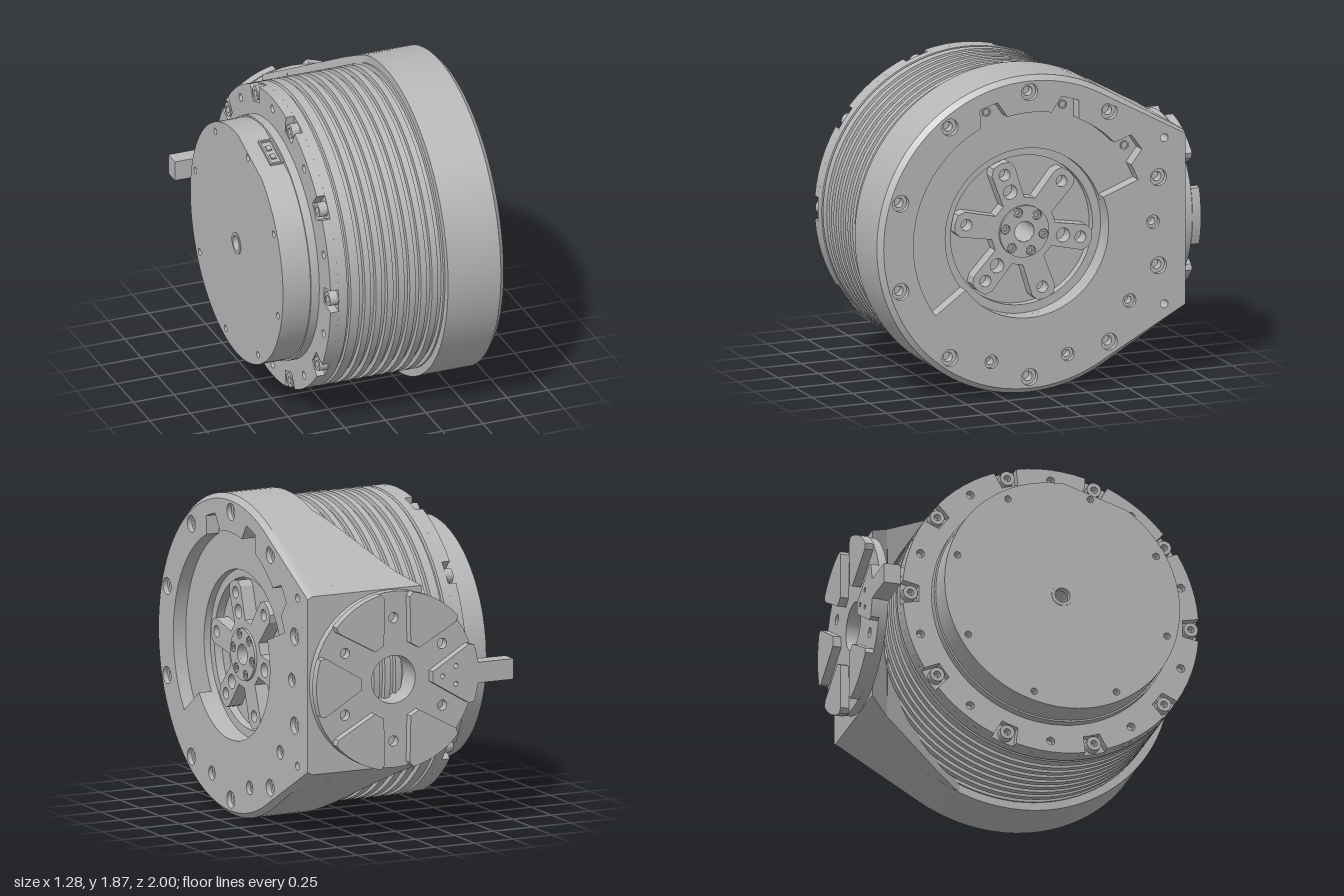
import * as THREE from 'three';
import { toCreasedNormals } from 'three/addons/utils/BufferGeometryUtils.js';
import { ConvexGeometry } from 'three/addons/geometries/ConvexGeometry.js';

const metal = new THREE.MeshStandardMaterial({ color: 0xb8b8b8 });
metal.name = 'grey metal';
const CY = 0.94, CZ = 0.065, R = 0.935;
const rad = (d) => d * Math.PI / 180;
const polar = (r, deg) => new THREE.Vector2(r * Math.cos(rad(deg)), r * Math.sin(rad(deg)));
const range = (n) => [...Array(n).keys()];

function circle(x, y, r) {
  return new THREE.Path().absarc(x, y, r, 0, Math.PI * 2, false);
}
function hole(r, deg, size) {
  const p = polar(r, deg);
  return circle(p.x, p.y, size);
}
function disc(r) {
  return new THREE.Shape().absarc(0, 0, r, 0, Math.PI * 2, false);
}
function arc(r, from, to, n) {
  return range(n + 1).map((i) => polar(r, from + (to - from) * i / n));
}
function add(parent, name, geo) {
  const mesh = new THREE.Mesh(toCreasedNormals(geo, 0.5), metal);
  mesh.name = name;
  parent.add(mesh);
  return mesh;
}
function extrude(shape, depth, curveSegments = 24, steps = 1) {
  return new THREE.ExtrudeGeometry(shape, { depth, curveSegments, steps, bevelEnabled: false });
}
// Extrusion across the main axis: shape x runs towards -z, depth runs along +x
function axial(parent, name, shape, x0, x1, segs) {
  return add(parent, name, extrude(shape, x1 - x0, segs).rotateY(Math.PI / 2).translate(x0, 0, 0));
}
function ring(parent, name, r, deg, outer, inner, x0, x1) {
  const shape = disc(outer);
  shape.holes.push(circle(0, 0, inner));
  const p = polar(r, deg);
  return axial(parent, name, shape, x0, x1, 10).position.set(0, p.y, -p.x);
}

// Finned core, with the stepped floor of the front recess and a through bore
function buildCore(g) {
  const pts = [[0.06, -0.47], [0.715, -0.47], [0.715, -0.37], [0.888, -0.37], [0.888, -0.315], [0.87, -0.31], [0.87, -0.3], [0.888, -0.295]];
  for (let i = 0; i < 8; i++) {
    const x = -0.24 + i * 0.069;
    pts.push([0.888, x], [0.86, x + 0.002], [0.86, x + 0.03], [0.888, x + 0.032]);
  }
  pts.push([0.888, 0.29], [0.9, 0.3], [0.9, 0.56], [0.49, 0.56], [0.49, 0.52], [0.44, 0.52], [0.44, 0.47], [0.06, 0.47], [0.06, -0.47]);
  const geo = new THREE.LatheGeometry(pts.map((p) => new THREE.Vector2(...p)), 96);
  add(g, 'finnedCore', geo.rotateZ(-Math.PI / 2));
}

// Teardrop housing with a chamfered front edge, recess and bolt holes
function buildHousing(g) {
  const shape = new THREE.Shape([...arc(R, 60, 300, 72).map((p) => new THREE.Vector2(-p.x, p.y))
    .map((p) => new THREE.Vector2(-p.x, p.y)), new THREE.Vector2(0.965, -0.52), new THREE.Vector2(0.965, 0.52)]);
  const recess = [];
  let last = 21;
  for (const a of [36, 72, 108]) {
    recess.push(...arc(0.72, last, a - 7, 6), ...arc(0.82, a - 4, a + 4, 3));
    last = a + 7;
  }
  recess.push(...arc(0.72, last, 216, 24), ...arc(0.49, 216, 381, 36));
  shape.holes.push(new THREE.Path(recess));
  range(10).forEach((i) => shape.holes.push(hole(0.84, 18 + 36 * i, 0.05)));
  [252, 288, 324, 0].forEach((a) => shape.holes.push(hole(0.765, a, 0.04)));
  [-1, 1].forEach((s) => shape.holes.push(circle(0.835, s * 0.49, 0.024)));
  const geo = extrude(shape, 0.355, 10, 12);
  const p = geo.attributes.position;
  for (let i = 0; i < p.count; i++) {
    const x = p.getX(i), y = p.getY(i);
    const cornerHole = Math.hypot(x - 0.835, Math.abs(y) - 0.49) < 0.04;
    if (p.getZ(i) > 0.35 && Math.hypot(x, y) > 0.93 && !cornerHole) {
      if (x < 0.96) p.setX(i, x * 0.968);
      p.setY(i, y * 0.968);
    }
  }
  add(g, 'housing', geo.rotateY(Math.PI / 2).translate(0.285, 0, 0));
  range(10).forEach((i) => ring(g, 'housingBolt', 0.84, 18 + 36 * i, 0.05, 0.028, 0.55, 0.61));
  [252, 288, 324, 0].forEach((a) => ring(g, 'coverBolt', 0.765, a, 0.04, 0.022, 0.55, 0.615));
  [36, 72, 108].forEach((a) => ring(g, 'recessEyelet', 0.765, a, 0.026, 0.018, 0.55, 0.568));
}

// Six-armed output spider inside the recess
function buildSpider(g) {
  const pts = [], arms = range(6).map((i) => 49 + 60 * i);
  arms.forEach((a) => pts.push(polar(0.2, a - 20), polar(0.39, a - 11), polar(0.425, a - 7),
    polar(0.432, a), polar(0.425, a + 7), polar(0.39, a + 11), polar(0.2, a + 20)));
  const shape = new THREE.Shape(pts);
  shape.holes.push(circle(0, 0, 0.06));
  arms.forEach((a, i) => {
    shape.holes.push(hole(0.36, a, 0.034));
    if (i % 2) shape.holes.push(hole(0.25, a, 0.042));
  });
  axial(g, 'spider', shape, 0.46, 0.55, 12);
  const hub = disc(0.153);
  hub.holes.push(circle(0, 0, 0.06));
  arms.forEach((a) => hub.holes.push(hole(0.12, a, 0.028)));
  axial(g, 'spiderHub', hub, 0.54, 0.565, 16);
  arms.forEach((a) => ring(g, 'hubBolt', 0.12, a, 0.024, 0.012, 0.54, 0.56));
}

// Scalloped rear flange with bolts, and the rear cap with its socket
function buildRear(g) {
  const pts = [];
  range(10).forEach((i) => {
    const a = 36 * i;
    pts.push(...arc(0.888, a - 31.5, a - 4.5, 6), ...arc(0.79, a - 3.6, a + 3.6, 3));
  });
  const flange = new THREE.Shape(pts);
  flange.holes.push(circle(0, 0, 0.7));
  range(10).forEach((i) => flange.holes.push(hole(0.82, 18 + 36 * i, 0.024)));
  axial(g, 'rearFlange', flange, -0.42, -0.36, 48);
  range(10).forEach((i) => ring(g, 'rearBolt', 0.84, 36 * i, 0.043, 0.02, -0.42, -0.36));

  const cap = new THREE.Shape(arc(0.705, 123, 451, 90));
  cap.holes.push(circle(0, 0, 0.06));
  range(8).forEach((i) => cap.holes.push(hole(0.65, 15 + 45 * i, 0.02)));
  axial(g, 'rearCap', cap, -0.64, -0.465, 24);
  ring(g, 'boreCollar', 0, 0, 0.065, 0.045, -0.645, -0.6);
  const socket = new THREE.Group();
  socket.name = 'socket';
  socket.rotation.x = rad(17);
  g.add(socket);
  const box = (name, w, h, d, x, y, z) => add(socket, name, new THREE.BoxGeometry(w, h, d).translate(x, y, z));
  [-1, 1].forEach((s) => {
    box('socketSide', 0.01, 0.03, 0.2, -0.51 + s * 0.036, 0.678, 0);
    box('socketEnd', 0.08, 0.03, 0.01, -0.51, 0.678, s * 0.095);
    box('socketPin', 0.03, 0.024, 0.035, -0.51, 0.676, s * 0.035);
  });
}

// Wedge arm that widens from the housing to the mounting flange
function buildArm(g) {
  const sections = [[-0.26, 0.877, 0.285], [-0.33, 0.847, 0.249], [-0.405, 0.808, 0.21], [-0.78, 0.59, 0.016]];
  const pts = [];
  sections.forEach(([z, h, x]) => [-h, h].forEach((y) => [x, 0.45].forEach((px) =>
    pts.push(new THREE.Vector3(px, y, z - CZ)))));
  add(g, 'wedgeArm', new ConvexGeometry(pts));

  const slab = new THREE.Shape([[-0.09, -0.52], [0.45, -0.52], [0.45, 0.52], [-0.09, 0.52]].map((p) => new THREE.Vector2(...p)));
  slab.holes.push(circle(0.115, 0, 0.14));
  const geo = extrude(slab, 0.12);
  const p = geo.attributes.position;
  for (let i = 0; i < p.count; i++) {
    if (p.getZ(i) < 0.1) continue;
    if (p.getX(i) < -0.08) p.setX(i, 0.016);
    if (Math.abs(p.getY(i)) > 0.4) p.setY(i, Math.sign(p.getY(i)) * 0.59);
  }
  add(g, 'armEnd', geo.translate(0, 0, -0.9 - CZ));
}

// Round mounting flange: base plate, six pads between slots, and a key tab
function buildMount(g) {
  const mount = new THREE.Group();
  mount.name = 'mountingFlange';
  mount.position.set(0.115, 0, -CZ);
  g.add(mount);
  const base = disc(0.515);
  base.holes.push(circle(0, 0, 0.14));
  range(6).forEach((i) => base.holes.push(hole(0.36, 30 + 60 * i, 0.03)));
  add(mount, 'mountPlate', extrude(base, 0.05).translate(0, 0, -0.95));
  range(6).forEach((i) => {
    const a = 60 * i;
    const pad = new THREE.Shape([polar(0.23, a - 8), ...arc(0.49, a - 20.5, a - 20.5, 1).slice(0, 1),
      ...arc(0.52, a - 18.5, a + 18.5, 10), polar(0.49, a + 20.5), polar(0.23, a + 8)]);
    if (i === 3) [[0.29, 0], [0.38, 8], [0.38, -8]].forEach(([r, d]) => pad.holes.push(hole(r, a + d, 0.014)));
    add(mount, 'mountPad', extrude(pad, 0.052, 8).translate(0, 0, -1));
  });
  add(mount, 'keyTab', new THREE.BoxGeometry(0.27, 0.12, 0.1).translate(-0.61, 0, -0.95));
}

export function createModel() {
  const model = new THREE.Group();
  model.name = 'actuator';
  const g = new THREE.Group();
  g.name = 'actuatorBody';
  g.position.set(0, CY, CZ);
  model.add(g);
  [buildCore, buildHousing, buildSpider, buildRear, buildArm, buildMount].forEach((build) => build(g));
  return model;
}
